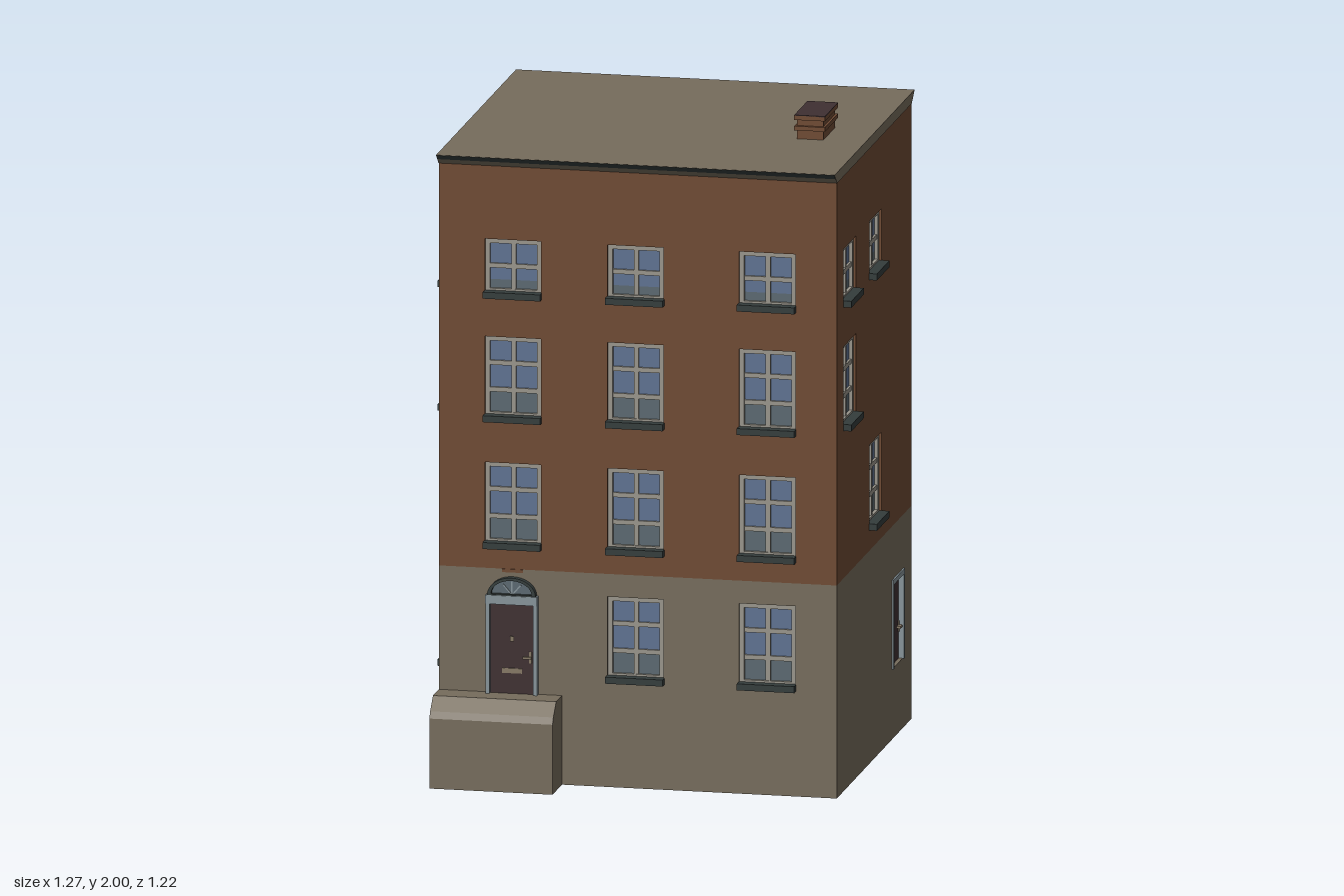
import * as THREE from 'three';

const mat = (name, color) => Object.assign(new THREE.MeshStandardMaterial({ color }), { name });

export function createModel() {
  const M = {
    brick: mat('brick', 0x6f4a33),
    stone: mat('stone', 0x766c5c),
    sill: mat('dark slate', 0x343c3b),
    frame: mat('window frame', 0x99958b),
    glass: mat('glass', 0x5f7292),
    lowGlass: mat('lower glass', 0x5b6971),
    door: mat('door', 0x3f3032),
    surround: mat('door surround', 0x87949a),
    brass: mat('brass', 0x857865),
  };
  const model = new THREE.Group();
  model.name = 'townhouse';

  const add = (parent, name, geo, material) => {
    const m = new THREE.Mesh(geo, material);
    m.name = name;
    parent.add(m);
    return m;
  };
  // box given by its limits
  const box = (parent, name, material, x0, x1, y0, y1, z0, z1) => {
    const m = add(parent, name, new THREE.BoxGeometry(x1 - x0, y1 - y0, z1 - z0), material);
    m.position.set((x0 + x1) / 2, (y0 + y1) / 2, (z0 + z1) / 2);
    return m;
  };
  // [z, y] profile swept along x
  const prism = (parent, name, material, pts, x0, x1) => {
    const s = new THREE.Shape(pts.map(([z, y]) => new THREE.Vector2(-z, y)));
    const g = new THREE.ExtrudeGeometry(s, { depth: x1 - x0, bevelEnabled: false });
    g.rotateY(Math.PI / 2);
    g.translate(x0, 0, 0);
    return add(parent, name, g, material);
  };
  const rectPath = (C, x0, x1, y0, y1) => {
    const p = new C();
    p.moveTo(x0, y0);
    p.lineTo(x1, y0);
    p.lineTo(x1, y1);
    p.lineTo(x0, y1);
    p.closePath();
    return p;
  };

  const CX = -0.003, CZ = -0.045, HW = 0.609, HD = 0.525;
  const T = 0.025, SPLIT = 0.655, TOP = 1.897;
  const WIN = 0.086; // half width of a window
  const floors = [[0.335, 0.585, 3], [0.73, 0.98, 3], [1.12, 1.367, 3], [1.5, 1.667, 2]];

  // window recessed behind the wall face at z = 0, with a projecting sill
  function makeWindow(u, [y0, y1, rows]) {
    const g = new THREE.Group();
    g.name = 'window';
    const h = (y1 - y0) / rows, f = 0.014, b = 0.007;
    const yLow = y0 + h * (rows === 2 ? 0.48 : 0.9);
    box(g, 'lowerPane', M.lowGlass, u - WIN, u + WIN, y0, yLow, -T, -0.018);
    box(g, 'upperPane', M.glass, u - WIN, u + WIN, yLow, y1, -T, -0.018);
    for (const s of [-1, 1]) {
      const e = u + s * (WIN - f / 2);
      box(g, 'frameSide', M.frame, e - f / 2, e + f / 2, y0, y1, -T, -0.008);
    }
    box(g, 'frameTop', M.frame, u - WIN, u + WIN, y1 - f, y1, -T, -0.008);
    box(g, 'frameBottom', M.frame, u - WIN, u + WIN, y0, y0 + f, -T, -0.008);
    box(g, 'mullion', M.frame, u - b, u + b, y0, y1, -T, -0.011);
    for (let i = 1; i < rows; i++) {
      box(g, 'glazingBar', M.frame, u - WIN, u + WIN, y0 + h * i - b, y0 + h * i + b, -T, -0.011);
    }
    box(g, 'sill', M.sill, u - 0.088, u + 0.088, y0 - 0.012, y0 + 0.008, -T, 0.024);
    return g;
  }

  // one facade: two wall panels with holes, plus its windows; cells are [column, floor]
  function makeFacade(name, angle, dist, half, cells, holes = []) {
    const g = new THREE.Group();
    g.name = name;
    g.rotation.y = angle;
    g.position.set(CX + Math.sin(angle) * dist, 0, CZ + Math.cos(angle) * dist);
    for (const [y0, y1, material] of [[0, SPLIT, M.stone], [SPLIT, TOP, M.brick]]) {
      const wall = rectPath(THREE.Shape, -half, half, y0, y1);
      for (const [u, k] of cells) {
        const [a, b] = floors[k];
        if (a > y0 && b < y1) wall.holes.push(rectPath(THREE.Path, u - WIN, u + WIN, a, b));
      }
      for (const [a, b, c, d] of holes) if (y0 === 0) wall.holes.push(rectPath(THREE.Path, a, b, c, d));
      const geo = new THREE.ExtrudeGeometry(wall, { depth: T, bevelEnabled: false });
      geo.translate(0, 0, -T);
      add(g, material === M.brick ? 'brickWall' : 'stoneWall', geo, material);
    }
    for (const [u, k] of cells) g.add(makeWindow(u, floors[k]));
    model.add(g);
    return g;
  }

  const cols = [-0.382, -0.007, 0.396];
  const grid = cols.flatMap((u) => [0, 1, 2, 3].map((k) => [u, k]));
  const front = makeFacade('frontFacade', 0, HD, HW, grid.slice(1));
  makeFacade('backFacade', Math.PI, HD, HW, grid.map(([u, k]) => [-u, k]));
  // side columns, measured from the middle of the side towards the front
  const F = 0.342, C = -0.018, B = -0.338;
  const right = makeFacade('rightFacade', Math.PI / 2, HW, HD - T,
    [[-F, 3], [-C, 3], [-F, 2], [-C, 1]], [[0.257, 0.409, 0.215, 0.487]]);
  makeFacade('leftFacade', -Math.PI / 2, HW, HD - T,
    [[B, 0], [F, 0], [B, 1], [C, 1], [B, 2], [C, 2], [F, 2], [B, 3], [F, 3]]);

  // side door, set in its opening
  const sideDoor = new THREE.Group();
  sideDoor.name = 'sideDoor';
  right.add(sideDoor);
  box(sideDoor, 'doorPanel', M.door, 0.257, 0.409, 0.215, 0.487, -T, -0.012);
  box(sideDoor, 'jamb', M.surround, 0.252, 0.266, 0.215, 0.49, -T, 0.005);
  box(sideDoor, 'jamb', M.surround, 0.4, 0.414, 0.215, 0.49, -T, 0.005);
  box(sideDoor, 'lintel', M.surround, 0.252, 0.414, 0.475, 0.49, -T, 0.005);
  box(sideDoor, 'handle', M.brass, 0.372, 0.396, 0.312, 0.319, -0.012, 0);
  box(sideDoor, 'lockPlate', M.brass, 0.388, 0.396, 0.3, 0.332, -0.012, -0.008);

  // front door with arched surround
  const frontDoor = new THREE.Group();
  frontDoor.name = 'frontDoor';
  frontDoor.position.x = -0.383;
  front.add(frontDoor);
  const arch = (Cls, r, h, y) => {
    const p = new Cls();
    p.moveTo(r, y);
    p.absellipse(0, y, r, h, 0, Math.PI, false);
    p.closePath();
    return p;
  };
  box(frontDoor, 'doorPanel', M.door, -0.068, 0.068, 0.27, 0.552, 0, 0.006);
  for (const s of [-1, 1]) {
    box(frontDoor, 'pilaster', M.surround, s * 0.073 - 0.006, s * 0.073 + 0.006, 0.27, 0.552, 0, 0.02);
  }
  box(frontDoor, 'lintel', M.surround, -0.079, 0.079, 0.55, 0.577, 0, 0.023);
  const rim = arch(THREE.Shape, 0.074, 0.055, 0.577);
  rim.holes.push(arch(THREE.Path, 0.062, 0.042, 0.581));
  add(frontDoor, 'fanlightRim', new THREE.ExtrudeGeometry(rim, { depth: 0.02, bevelEnabled: false }), M.sill);
  add(frontDoor, 'fanlight', new THREE.ExtrudeGeometry(arch(THREE.Shape, 0.068, 0.049, 0.577),
    { depth: 0.008, bevelEnabled: false }), M.lowGlass);
  for (const a of [-0.7, 0, 0.7]) {
    const bar = add(frontDoor, 'fanlightBar', new THREE.BoxGeometry(0.004, 0.042, 0.004), M.surround);
    bar.position.set(-Math.sin(a) * 0.021, 0.577 + Math.cos(a) * 0.021, 0.009);
    bar.rotation.z = a;
  }
  box(frontDoor, 'keystone', M.brick, -0.032, 0.032, 0.645, 0.655, 0, 0.003);
  box(frontDoor, 'letterbox', M.brass, -0.03, 0.03, 0.337, 0.352, 0.005, 0.01);
  box(frontDoor, 'knocker', M.brass, -0.006, 0.006, 0.435, 0.45, 0.005, 0.011);
  box(frontDoor, 'handle', M.brass, 0.034, 0.06, 0.383, 0.39, 0.005, 0.016);
  box(frontDoor, 'lockPlate', M.brass, 0.052, 0.06, 0.37, 0.405, 0.005, 0.009);

  // base, stoop, and roof with flared eaves front and back
  const x0 = CX - HW, x1 = CX + HW;
  box(model, 'base', M.stone, x0 + T, x1 - T, 0, 0.02, CZ - HD + T, CZ + HD - T);
  prism(model, 'stoop', M.stone,
    [[0.47, 0], [0.613, 0], [0.613, 0.215], [0.602, 0.235], [0.562, 0.274], [0.47, 0.274]], x0, -0.235);
  prism(model, 'roof', M.stone,
    [[0.48, TOP - 0.005], [0.515, 1.925], [-0.61, 1.925], [-0.57, TOP - 0.005]], x0 - 0.001, x1 + 0.001);
  prism(model, 'frontGutter', M.sill, [[0.5, 1.909], [0.516, 1.924], [0.49, 1.924]], x0, x1);
  prism(model, 'backGutter', M.sill, [[-0.594, 1.909], [-0.611, 1.924], [-0.58, 1.924]], x0, x1);

  // chimney with two projecting courses
  const chimney = new THREE.Group();
  chimney.name = 'chimney';
  chimney.position.set(0.438, 0, -0.002);
  model.add(chimney);
  box(chimney, 'stack', M.brick, -0.04, 0.04, 1.92, 1.997, -0.083, 0.083);
  for (const y of [1.953, 1.985]) {
    box(chimney, 'course', M.brick, -0.047, 0.047, y, y + 0.013, -0.093, 0.093);
  }
  box(chimney, 'cap', M.door, -0.047, 0.047, 1.997, 2, -0.093, 0.093);
  return model;
}
